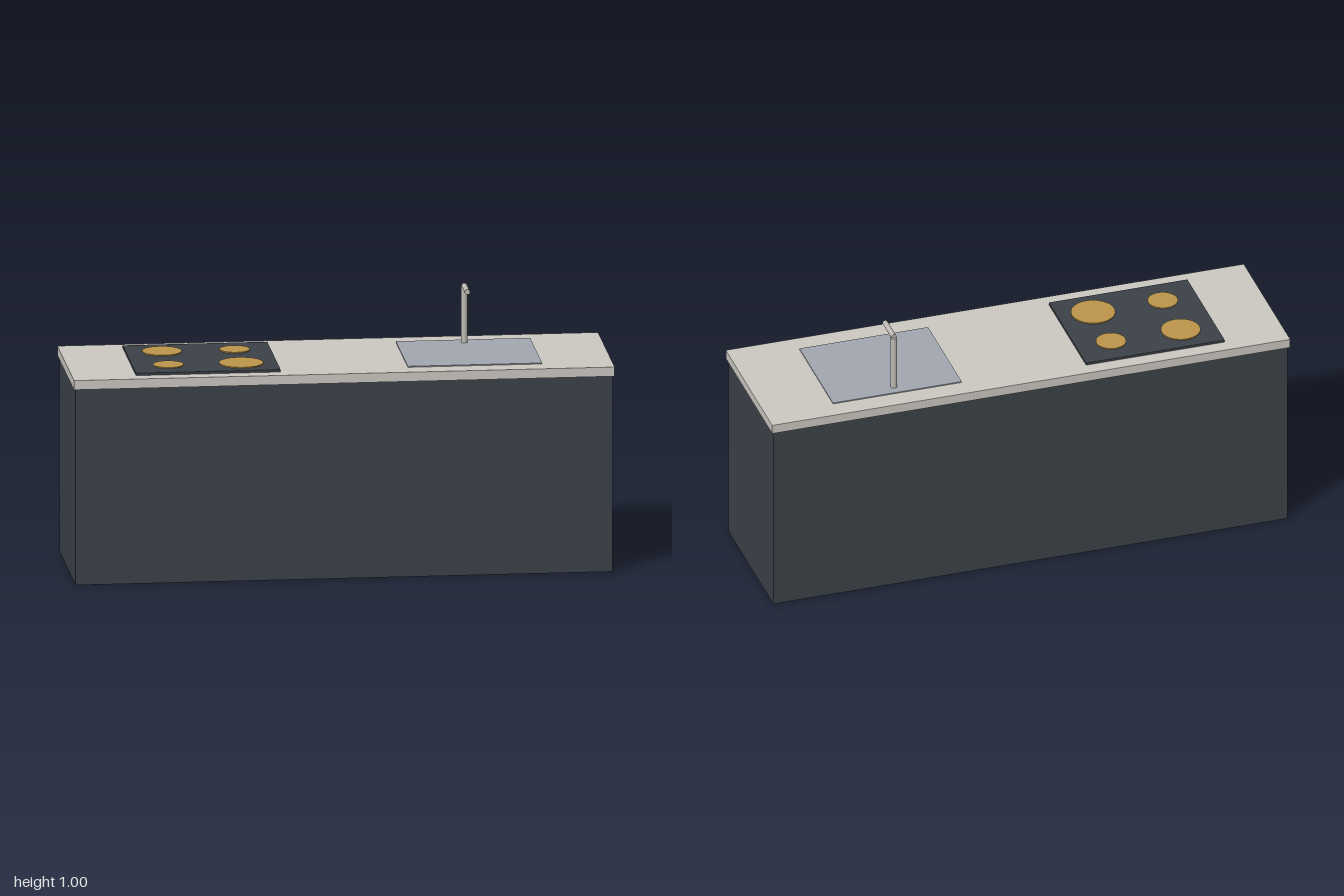
import * as THREE from 'three';

const paint = (name, color) => {
  const m = new THREE.MeshStandardMaterial({ color });
  m.name = name;
  return m;
};

export function createModel() {
  const island = new THREE.Group();
  island.name = 'kitchenIsland';

  const charcoal = paint('charcoal', 0x3b4148);
  const stone = paint('paleStone', 0xcac7c1);
  const brass = paint('brass', 0xbb944a);
  const steel = paint('blueSteel', 0xa0a5af);
  const nickel = paint('nickel', 0xbfbbb3);

  const add = (name, geometry, material, x, y, z) => {
    const mesh = new THREE.Mesh(geometry, material);
    mesh.name = name;
    mesh.position.set(x, y, z);
    island.add(mesh);
    return mesh;
  };
  // Box given by its bottom and top heights
  const slab = (name, material, w, d, y0, y1, x = 0) =>
    add(name, new THREE.BoxGeometry(w, y1 - y0, d), material, x, (y0 + y1) / 2, 0);

  // Cabinet and worktop
  slab('cabinet', charcoal, 1.985, 0.54, 0, 0.74);
  slab('worktop', stone, 2, 0.56, 0.74, 0.775);

  // Cooktop with four burners
  slab('cooktop', charcoal, 0.535, 0.45, 0.775, 0.784, -0.497);
  const burners = [
    [-0.632, -0.108, 0.073],
    [-0.363, -0.108, 0.056],
    [-0.632, 0.108, 0.056],
    [-0.363, 0.108, 0.082],
  ];
  for (const [x, z, r] of burners) {
    add('burner', new THREE.CylinderGeometry(r, r, 0.004, 32), brass, x, 0.786, z);
  }

  // Sink plate
  slab('sink', steel, 0.497, 0.405, 0.775, 0.779, 0.492);

  // Tap: upright post and a spout reaching forward
  add('tapPost', new THREE.CylinderGeometry(0.012, 0.012, 0.212, 16), nickel, 0.492, 0.884, -0.16);
  const spout = add('tapSpout', new THREE.CylinderGeometry(0.01, 0.01, 0.106, 16), nickel, 0.492, 0.993, -0.107);
  spout.rotation.x = Math.PI / 2;

  return island;
}
